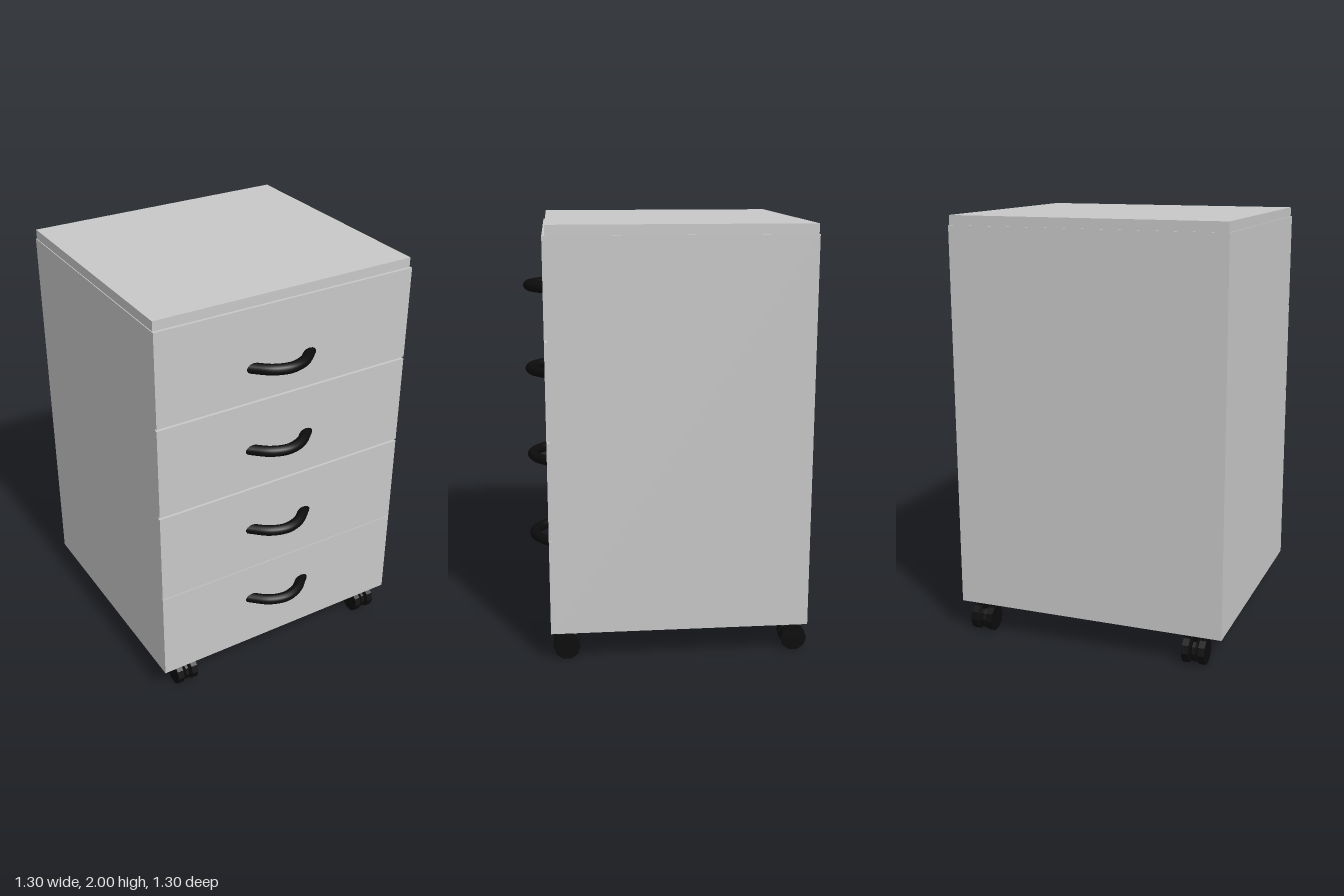
import * as THREE from 'three';

export function createModel() {
  const grey = new THREE.MeshStandardMaterial({ color: 0xc8c8c8 });
  grey.name = 'light grey';
  const black = new THREE.MeshStandardMaterial({ color: 0x0c0c0c });
  black.name = 'black';
  const model = new THREE.Group();
  model.name = 'drawerCabinet';

  const add = (geometry, material, name, parent = model) => {
    const mesh = new THREE.Mesh(geometry, material);
    mesh.name = name;
    parent.add(mesh);
    return mesh;
  };

  // Box given by its lower and upper limits on each axis
  const box = (name, [x0, x1], [y0, y1], [z0, z1]) =>
    add(new THREE.BoxGeometry(x1 - x0, y1 - y0, z1 - z0), grey, name)
      .position.set((x0 + x1) / 2, (y0 + y1) / 2, (z0 + z1) / 2);

  // Cabinet body and slightly inset top
  box('body', [-0.653, 0.651], [0.15, 1.955], [-0.643, 0.537]);
  box('top', [-0.649, 0.647], [1.955, 2], [-0.639, 0.538]);

  // Drawer fronts separated by narrow gaps
  const drawers = [[0.15, 0.599], [0.602, 1.051], [1.061, 1.501], [1.511, 1.955]];
  drawers.forEach((span) => box('drawerFront', [-0.653, 0.651], span, [0.537, 0.551]));

  // Bowed handles: round bar curving out of each drawer front
  const bow = new THREE.CatmullRomCurve3([
    [-0.165, 0.53], [-0.142, 0.552], [-0.08, 0.604], [0, 0.627],
    [0.08, 0.604], [0.142, 0.552], [0.165, 0.53],
  ].map(([x, z]) => new THREE.Vector3(x, 0, z)));
  const handle = new THREE.TubeGeometry(bow, 32, 0.025, 14);
  [[-0.023, 0.41], [-0.028, 0.825], [-0.034, 1.262], [-0.034, 1.672]].forEach(([x, y]) =>
    add(handle, black, 'handle').position.set(x, y, 0));

  // Casters: grooved twin wheel on its axle, with a flat stem
  const half = [[0, 0.054], [0.061, 0.054], [0.061, 0.023], [0.042, 0.014], [0.053, 0.007]];
  const profile = [
    ...half.map(([r, a]) => new THREE.Vector2(r, -a)),
    ...half.map(([r, a]) => new THREE.Vector2(r, a)).reverse(),
  ];
  const wheel = new THREE.LatheGeometry(profile, 10).toNonIndexed();
  wheel.rotateZ(-Math.PI / 2);
  wheel.computeVertexNormals();
  const stem = new THREE.BoxGeometry(0.016, 0.09, 0.042);
  for (const x of [-0.52, 0.551]) {
    for (const z of [-0.59, 0.478]) {
      const caster = new THREE.Group();
      caster.name = 'caster';
      caster.position.set(x, 0.061, z);
      add(wheel, black, 'wheel', caster);
      add(stem, black, 'stem', caster).position.y = 0.045;
      model.add(caster);
    }
  }
  return model;
}
